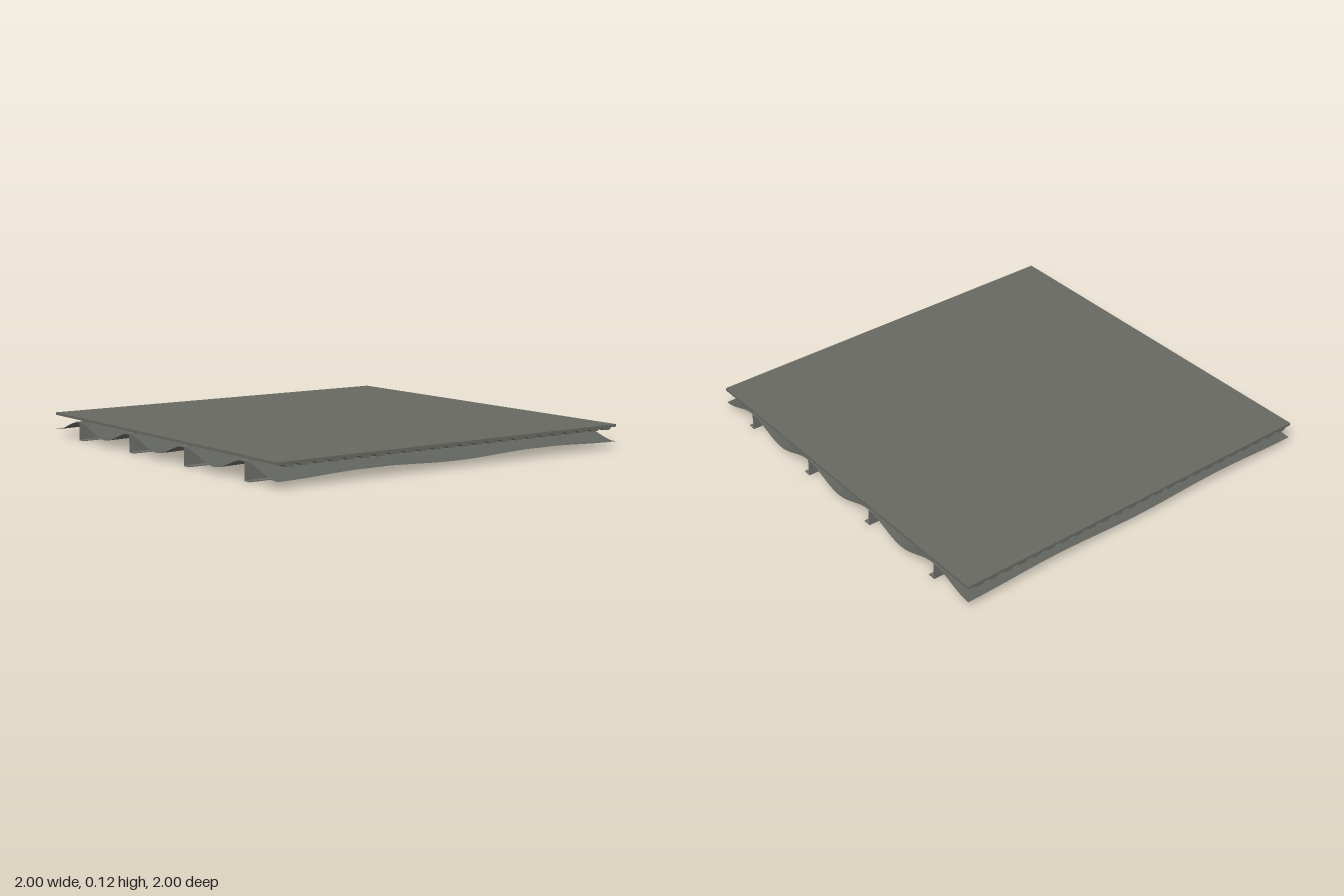
import * as THREE from 'three';

const deckMat = new THREE.MeshStandardMaterial({ name: 'grey green deck', color: 0x666860 });
const steelMat = new THREE.MeshStandardMaterial({ name: 'grey steel', color: 0x6a6c68 });
const sheetMat = new THREE.MeshStandardMaterial({ name: 'dark grey lining', color: 0x60625d, side: THREE.DoubleSide });

export function createModel() {
  const model = new THREE.Group();
  model.name = 'floorPanel';

  function add(name, geometry, material, x = 0, y = 0, z = 0) {
    const mesh = new THREE.Mesh(geometry, material);
    mesh.name = name;
    mesh.position.set(x, y, z);
    model.add(mesh);
    return mesh;
  }
  const box = (name, mat, w, h, d, x, y, z) => add(name, new THREE.BoxGeometry(w, h, d), mat, x, y, z);

  // Flat top slab
  box('topSlab', deckMat, 2, 0.013, 2, 0, 0.1085, 0);

  // Trapezoidal ribs under the slab, running side to side
  const ribCount = 24;
  const pitch = 1.96 / ribCount;
  const ribShape = new THREE.Shape([
    new THREE.Vector2(-pitch * 0.36, 0.102),
    new THREE.Vector2(-pitch * 0.24, 0.091),
    new THREE.Vector2(pitch * 0.24, 0.091),
    new THREE.Vector2(pitch * 0.36, 0.102),
  ]);
  const ribGeo = new THREE.ExtrudeGeometry(ribShape, { depth: 2, bevelEnabled: false });
  ribGeo.translate(0, 0, -1).rotateY(Math.PI / 2);
  for (let i = 0; i < ribCount; i++) {
    add('deckRib', ribGeo, deckMat, 0, 0, -0.98 + pitch * (i + 0.5));
  }

  // Thin joists with a bottom lip and a top flange, each with a bearing strip
  const t = 0.004;
  for (const x of [-0.75, -0.25, 0.25, 0.75]) {
    box('joistWeb', steelMat, t, 0.09, 2, x, 0.045, 0);
    box('joistLip', steelMat, 0.038, t, 2, x + 0.019, t / 2, 0);
    box('joistFlange', steelMat, 0.038, t, 2, x - 0.019, 0.09 - t / 2, 0);
    box('bearingStrip', deckMat, 0.02, 0.012, 1.95, x, 0.096, 0);
  }

  // Lining sheet that sags between the joists
  const sheetGeo = new THREE.PlaneGeometry(2, 2, 64, 32);
  sheetGeo.rotateX(-Math.PI / 2);
  const p = sheetGeo.attributes.position;
  for (let i = 0; i < p.count; i++) {
    const sag = 0.0525 + 0.0075 * Math.cos(2 * Math.PI * p.getZ(i));
    p.setY(i, 0.09 - 0.5 * (1 + Math.cos(4 * Math.PI * p.getX(i))) * sag);
  }
  sheetGeo.computeVertexNormals();
  add('saggingSheet', sheetGeo, sheetMat);

  // Small blocks hanging below the sheet
  box('hangingBlock', steelMat, 0.1, 0.044, 0.12, -0.6, 0.033, -0.24);
  box('hangingBlock', steelMat, 0.08, 0.035, 0.24, -0.575, 0.04, -0.32);
  box('hangingBlock', steelMat, 0.07, 0.038, 0.1, -0.475, 0.028, -0.45);
  box('hangingBlock', steelMat, 0.058, 0.046, 0.1, 0.35, 0.054, 0.54).rotation.z = -0.1;

  return model;
}
